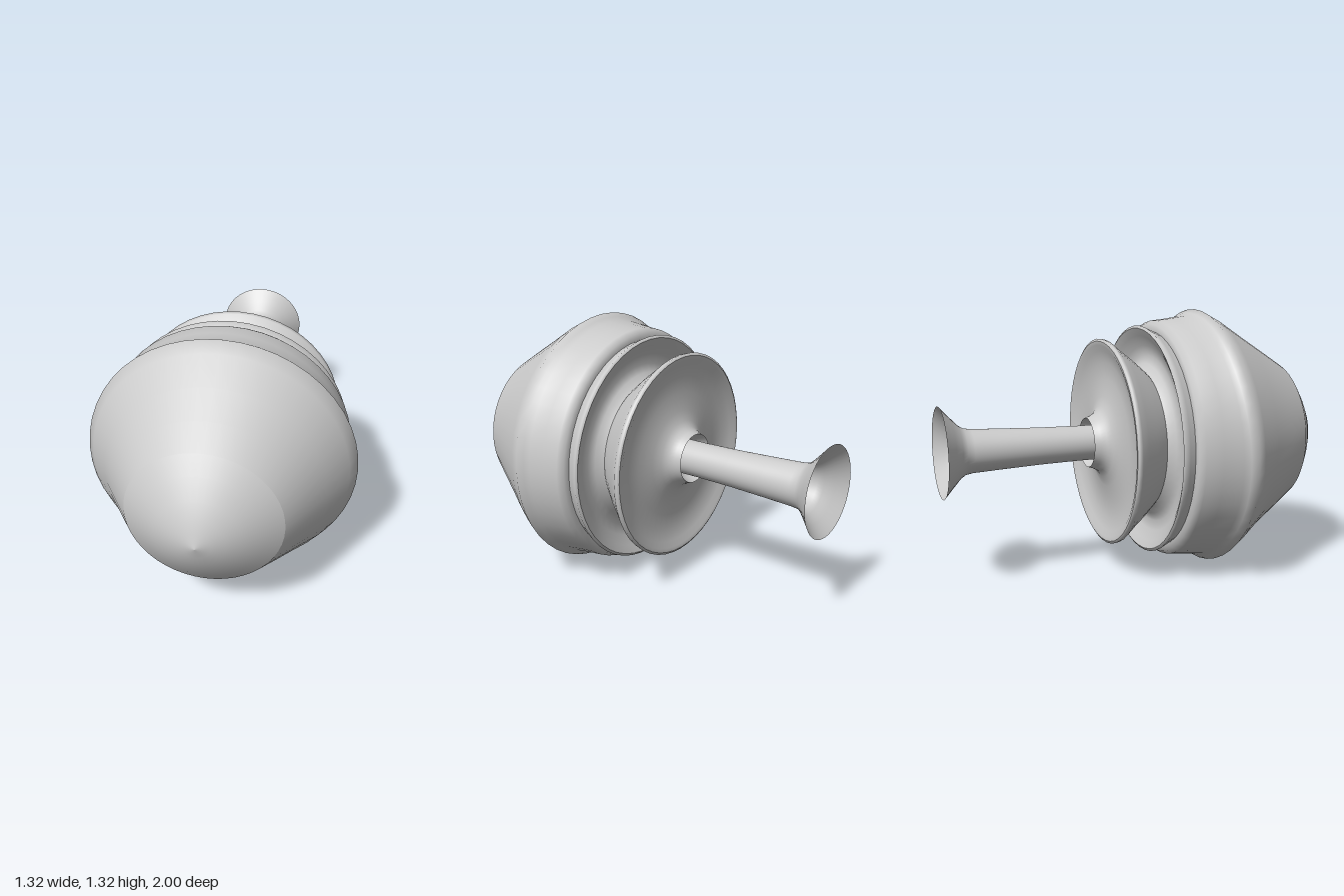
import * as THREE from 'three';

const AXIS_Y = 0.667;

// Turned part around the z axis; profile points are [radius, z], back to front
function turned(name, profile, material, segments = 48) {
  const pts = profile.map(([r, z]) => new THREE.Vector2(r, z));
  const geo = new THREE.LatheGeometry(pts, segments);
  geo.rotateX(Math.PI / 2);
  const mesh = new THREE.Mesh(geo, material);
  mesh.name = name;
  mesh.position.y = AXIS_Y;
  return mesh;
}

export function createModel() {
  const model = new THREE.Group();
  model.name = 'turnedBell';
  const mat = new THREE.MeshStandardMaterial({ color: 0xcccccc, side: THREE.DoubleSide });

  // Rounded nose with a pointed tip
  model.add(turned('nose', [
    [0.37, 0.8], [0.29, 0.86], [0.2, 0.92], [0.13, 0.955], [0.07, 0.98], [0, 1],
  ], mat));

  // Main body: band, wavy ridge, then the cone running up to the nose
  const body = turned('body', [
    [0.555, 0.088], [0.59, 0.09], [0.607, 0.12], [0.615, 0.2], [0.627, 0.28], [0.642, 0.305],
    [0.66, 0.335], [0.625, 0.4], [0.535, 0.54], [0.45, 0.675], [0.37, 0.8],
  ], mat);
  // The ridge drifts forward on the right lower side
  const p = body.geometry.attributes.position;
  for (let i = 0; i < p.count; i++) {
    const z = p.getZ(i);
    const weight = Math.max(0, 1 - Math.abs(z - 0.33) / 0.16);
    const a = Math.atan2(p.getY(i), p.getX(i));
    const side = Math.max(0, Math.cos(a - Math.PI - 0.35)) ** 3;
    p.setZ(i, z + 0.045 * weight * side);
  }
  body.geometry.computeVertexNormals();
  // Close the shading seam left where the first and last columns meet
  const n = body.geometry.attributes.normal;
  const rows = 11, last = p.count - rows;
  for (let i = 0; i < rows; i++) {
    const v = new THREE.Vector3().fromBufferAttribute(n, i)
      .add(new THREE.Vector3().fromBufferAttribute(n, last + i)).normalize();
    n.setXYZ(i, v.x, v.y, v.z);
    n.setXYZ(last + i, v.x, v.y, v.z);
  }
  model.add(body);

  // Thin ring behind the body
  model.add(turned('ring', [[0.57, 0.02], [0.583, 0.028], [0.57, 0.055], [0.555, 0.09]], mat));

  // Recessed groove between the ring and the rear disc
  model.add(turned('groove', [
    [0.36, 0.03], [0.39, 0.065], [0.43, 0.08], [0.48, 0.07], [0.53, 0.04], [0.57, 0.02],
  ], mat));

  // Flared side of the rear disc
  model.add(turned('discSide', [
    [0.51, -0.185], [0.522, -0.178], [0.518, -0.16], [0.48, -0.115], [0.43, -0.05], [0.37, 0.02], [0.36, 0.03],
  ], mat));

  // Dished back face rising into the collar
  model.add(turned('discBack', [
    [0.125, -0.26], [0.135, -0.23], [0.15, -0.203], [0.18, -0.182], [0.23, -0.165],
    [0.32, -0.15], [0.4, -0.152], [0.46, -0.168], [0.49, -0.182], [0.51, -0.185],
  ], mat));

  // Open mouth of the collar around the stem
  model.add(turned('collarMouth', [[0.088, -0.2], [0.108, -0.22], [0.125, -0.26]], mat));

  // Hollow stem with a trumpet end
  model.add(turned('stem', [
    [0.225, -1], [0.17, -0.95], [0.13, -0.912], [0.113, -0.885], [0.107, -0.85],
    [0.1, -0.7], [0.092, -0.5], [0.088, -0.3], [0.088, -0.2],
  ], mat));

  return model;
}
